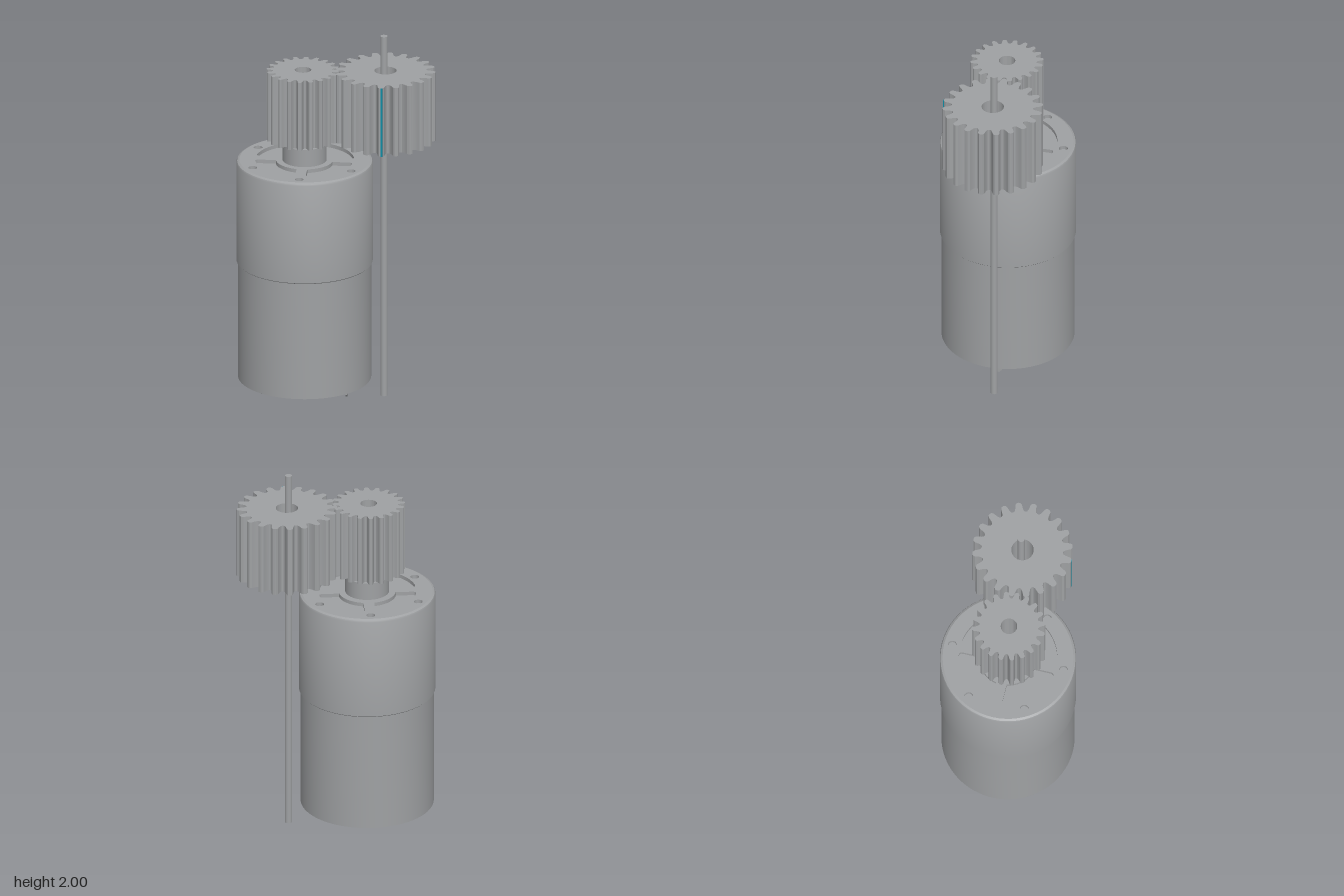
import * as THREE from 'three';
import { toCreasedNormals } from 'three/addons/utils/BufferGeometryUtils.js';

const metal = new THREE.MeshStandardMaterial({ color: 0x9fa1a3 });
metal.name = 'grey metal';
const teal = new THREE.MeshStandardMaterial({ color: 0x0a8ca5 });
teal.name = 'teal marking';

const MX = -0.165; // motor axis
const TEETH = 20;

function add(parent, name, geometry, x, y, z, material = metal) {
  const mesh = new THREE.Mesh(geometry, material);
  mesh.name = name;
  mesh.position.set(x, y, z);
  parent.add(mesh);
  return mesh;
}

function lathe(profile, segments = 64) {
  const points = profile.map(([r, y]) => new THREE.Vector2(r, y));
  return toCreasedNormals(new THREE.LatheGeometry(points, segments), 0.5);
}

function circle(x, y, r) {
  return new THREE.Path().absarc(x, y, r, 0, Math.PI * 2, true);
}

// Upright extrusion whose base sits on y = 0
function slab(shape, depth) {
  const g = new THREE.ExtrudeGeometry(shape, { depth, bevelEnabled: false, curveSegments: 32 });
  g.rotateX(-Math.PI / 2);
  return toCreasedNormals(g, 0.45);
}

// Outline of a spur gear with rounded teeth
function gearOutline(scale) {
  const tooth = [[-0.5, 0.212], [-0.38, 0.215], [-0.29, 0.226], [-0.24, 0.24], [-0.21, 0.251], [-0.12, 0.26],
    [0, 0.262], [0.12, 0.26], [0.21, 0.251], [0.24, 0.24], [0.29, 0.226], [0.38, 0.215]];
  const points = [];
  for (let i = 0; i < TEETH; i++) {
    for (const [t, r] of tooth) {
      const a = ((i + t) / TEETH) * Math.PI * 2;
      points.push(new THREE.Vector2(Math.cos(a) * r * scale, Math.sin(a) * r * scale));
    }
  }
  return points;
}

function gear(scale, bore) {
  const shape = new THREE.Shape(gearOutline(scale));
  shape.holes.push(circle(0, 0, bore));
  return slab(shape, 0.38);
}

// Rounded pocket filling one quarter of the gearbox top
function pocket(quarter) {
  const inner = 0.15, outer = 0.257, gap = 0.028, round = 0.025;
  const a0 = Math.asin((gap + round) / outer);
  const b0 = Math.asin(gap / inner);
  const turn = quarter * Math.PI / 2;
  const at = (x, y) => [x * Math.cos(turn) - y * Math.sin(turn), x * Math.sin(turn) + y * Math.cos(turn)];
  const p = new THREE.Path();
  p.moveTo(...at(inner * Math.cos(b0), gap));
  p.lineTo(...at(outer - round, gap));
  p.quadraticCurveTo(...at(outer, gap), ...at(outer * Math.cos(a0), outer * Math.sin(a0)));
  p.absarc(0, 0, outer, turn + a0, turn + Math.PI / 2 - a0, false);
  p.quadraticCurveTo(...at(gap, outer), ...at(gap, outer - round));
  p.lineTo(...at(gap, inner * Math.cos(b0)));
  p.absarc(0, 0, inner, turn + Math.PI / 2 - b0, turn + b0, true);
  return p;
}

export function createModel() {
  const model = new THREE.Group();
  model.name = 'gearMotor';

  // Motor can with a recessed underside
  add(model, 'motorCan', lathe([[0, 0.118], [0.328, 0.118], [0.33, 0.105], [0.347, 0.105], [0.347, 0.76], [0, 0.76]]), MX, 0, -0.002);

  // Gearbox housing with a rounded upper edge
  add(model, 'gearboxHousing', lathe([[0, 0.748], [0.35, 0.748], [0.355, 0.753], [0.355, 1.295],
    [0.351, 1.304], [0.34, 1.31], [0.34, 1.29], [0, 1.29]]), MX, 0, -0.002);

  // Top plate with four pockets and six screw holes
  const plate = new THREE.Shape().absarc(0, 0, 0.34, 0, Math.PI * 2, false);
  for (let q = 0; q < 4; q++) plate.holes.push(pocket(q));
  for (let i = 0; i < 6; i++) {
    const a = Math.PI / 6 + i * Math.PI / 3;
    plate.holes.push(circle(Math.cos(a) * 0.297, Math.sin(a) * 0.297, 0.023));
  }
  add(model, 'gearboxTopPlate', slab(plate, 0.02), MX, 1.29, -0.002);

  // Output boss and shaft
  add(model, 'outputBoss', new THREE.CylinderGeometry(0.115, 0.115, 0.1, 48), MX, 1.355, 0);
  add(model, 'outputShaft', new THREE.CylinderGeometry(0.055, 0.055, 0.06, 32), MX - 0.005, 1.415, 0.003);

  // Rear bearing: collar, cone and a small pit
  add(model, 'rearBearing', lathe([[0, 0.042], [0.018, 0.042], [0.022, 0.028], [0.035, 0.028], [0.072, 0.065],
    [0.072, 0.082], [0.092, 0.082], [0.097, 0.088], [0.097, 0.12], [0, 0.12]], 40), MX, 0, 0);

  // Terminal tabs, each with a slot and an insulating collar
  for (const side of [-1, 1]) {
    const x = MX + side * 0.22;
    const tab = new THREE.Shape([[-0.025, 0.12], [-0.025, 0.015], [-0.012, 0], [0.012, 0], [0.025, 0.015], [0.025, 0.12]]
      .map(([a, b]) => new THREE.Vector2(a, b)));
    tab.holes.push(new THREE.Path([[-0.01, 0.025], [-0.01, 0.07], [0.01, 0.07], [0.01, 0.025]]
      .map(([a, b]) => new THREE.Vector2(a, b))));
    const g = new THREE.ExtrudeGeometry(tab, { depth: 0.01, bevelEnabled: false });
    g.translate(0, 0, -0.005).rotateY(Math.PI / 2);
    add(model, 'terminalTab', g, x, 0, 0);
    const collar = new THREE.CylinderGeometry(0.05, 0.05, 0.015, 24);
    collar.scale(0.4, 1, 1);
    add(model, 'terminalCollar', collar, x, 0.113, 0);
  }

  // Drive gear on the motor
  add(model, 'driveGear', gear(0.727, 0.043), -0.173, 1.43, 0.005);

  // Driven gear with teal marked areas
  const driven = new THREE.Group();
  driven.name = 'drivenGear';
  driven.position.set(0.255, 1.43, -0.025);
  model.add(driven);
  add(driven, 'drivenGearBody', gear(1, 0.058), 0, 0, 0);
  const half = gearOutline(1).filter((p) => p.y < -0.06);
  const cap = new THREE.ShapeGeometry(new THREE.Shape(half));
  cap.rotateX(Math.PI / 2);
  add(driven, 'undersideMarking', cap, 0, -0.003, 0, teal);
  add(driven, 'toothMarking', new THREE.BoxGeometry(0.01, 0.38, 0.004), 0.003, 0.19, 0.262, teal);

  // Long thin axle
  add(model, 'axle', new THREE.CylinderGeometry(0.019, 0.019, 2, 24), 0.247, 1, -0.03);

  return model;
}
